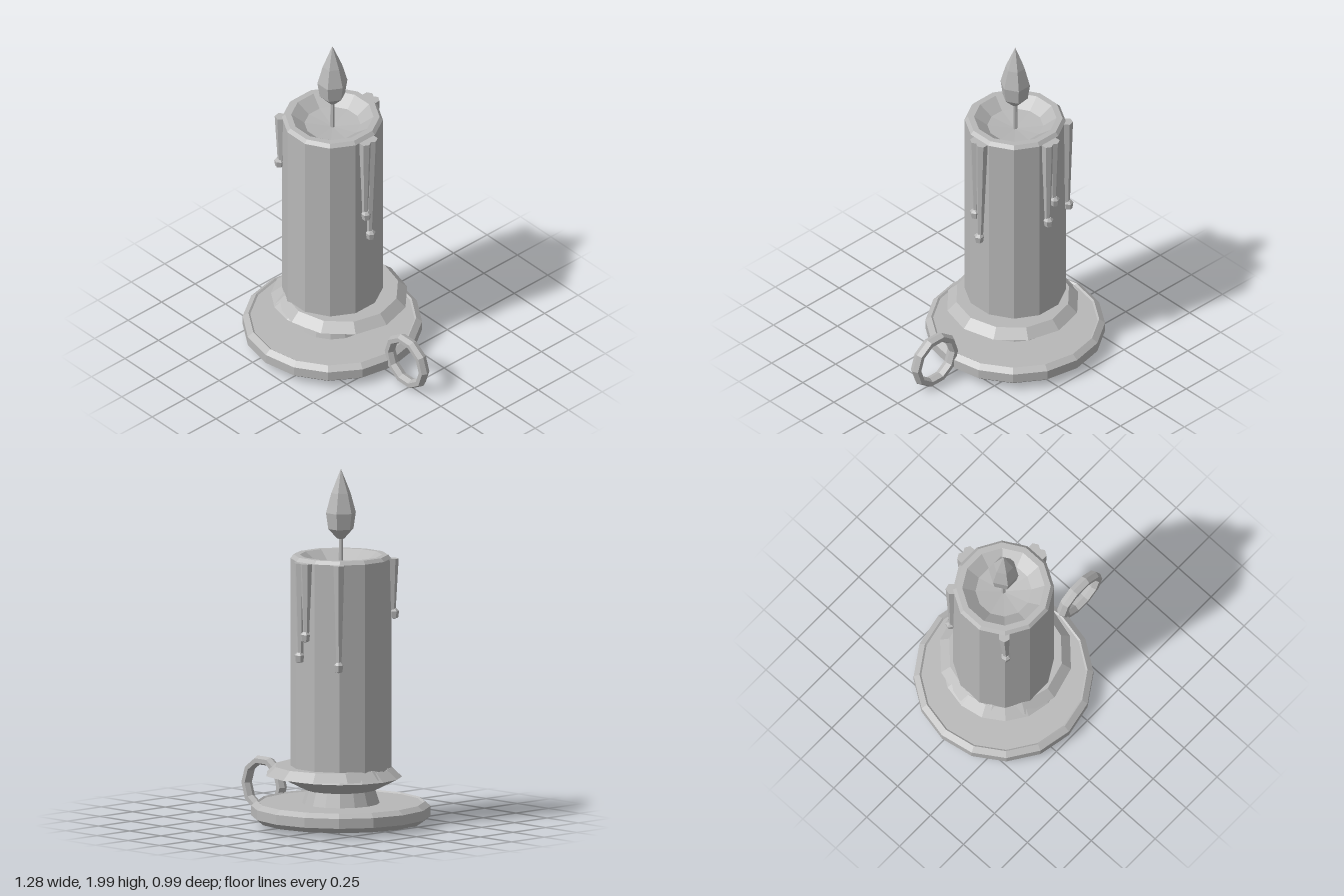
import * as THREE from 'three';

const AXIS_X = -0.145; // candle axis

export function createModel() {
  const model = new THREE.Group();
  model.name = 'candleInHolder';
  const grey = new THREE.MeshStandardMaterial({ color: 0xb8b8b8, flatShading: true });
  grey.name = 'plain grey';

  const add = (name, geometry, x = 0, y = 0, z = 0, parent = model) => {
    const mesh = new THREE.Mesh(geometry, grey);
    mesh.name = name;
    mesh.position.set(x, y, z);
    parent.add(mesh);
    return mesh;
  };
  // profile runs bottom to top as [radius, height]
  const lathe = (profile, sides, turn = 0) =>
    new THREE.LatheGeometry(profile.map(([r, y]) => new THREE.Vector2(r, y)), sides, turn);

  // saucer, neck and cup of the holder
  add('saucer', lathe([[0, 0.03], [0.46, 0.03], [0.497, 0.06], [0.497, 0.115],
    [0.465, 0.14], [0.455, 0.132], [0, 0.132]], 16), AXIS_X);
  add('neck', lathe([[0.215, 0.13], [0.185, 0.22]], 16), AXIS_X);
  add('cup', lathe([[0, 0.21], [0.2, 0.21], [0.34, 0.28], [0.28, 0.33], [0, 0.33]], 16), AXIS_X);

  // melted wax, off centre on the cup
  add('waxPool', lathe([[0, 0.285], [0.372, 0.29], [0.32, 0.34], [0, 0.34]], 12), -0.1, 0, -0.027);

  // candle with a hollow top
  add('candle', lathe([[0.28, 0.3], [0.28, 1.5], [0.262, 1.52], [0.228, 1.52],
    [0.155, 1.465], [0, 1.445]], 12, Math.PI / 12), AXIS_X);

  add('wick', new THREE.CylinderGeometry(0.011, 0.013, 0.28, 6), AXIS_X, 1.57);
  add('flame', lathe([[0, 1.605], [0.02, 1.61], [0.072, 1.665], [0.085, 1.755],
    [0.055, 1.865], [0, 2]], 6, Math.PI / 6), AXIS_X);

  // ring handle
  const ring = add('ringHandle', new THREE.TorusGeometry(0.14, 0.026, 6, 10), 0.47, 0.165, 0);
  ring.scale.set(1, 1, 1.25);

  // wax drips: direction around the candle, sideways shift and lean, lowest height
  const drips = [
    [Math.PI / 2, -0.014, 0.0, 0.97],
    [Math.PI / 2, 0.034, -0.014, 0.82],
    [Math.PI, 0.022, 0.0, 1.06],
    [Math.PI, -0.025, 0.0, 0.94],
    [-Math.PI * 0.755, 0, 0, 0.9],
    [-Math.PI * 0.255, 0, 0.01, 1.16],
  ];
  for (const [angle, shift, lean, bottom] of drips) {
    const drip = new THREE.Group();
    drip.name = 'waxDrip';
    drip.position.x = AXIS_X;
    drip.rotation.y = angle;
    model.add(drip);
    const length = 1.5 - bottom - 0.03;
    const run = new THREE.CylinderGeometry(0.034, 0.016, length, 6, 1);
    const pos = run.attributes.position;
    for (let i = 0; i < pos.count; i++) {
      if (pos.getY(i) < 0) pos.setX(i, pos.getX(i) + lean);
    }
    add('dripRun', run, shift, 1.5 - length / 2, 0.286, drip);
    add('dripBead', lathe([[0, 0], [0.023, 0.008], [0.028, 0.045], [0.014, 0.06], [0, 0.06]], 6),
      shift + lean, bottom, 0.294, drip);
  }
  return model;
}
